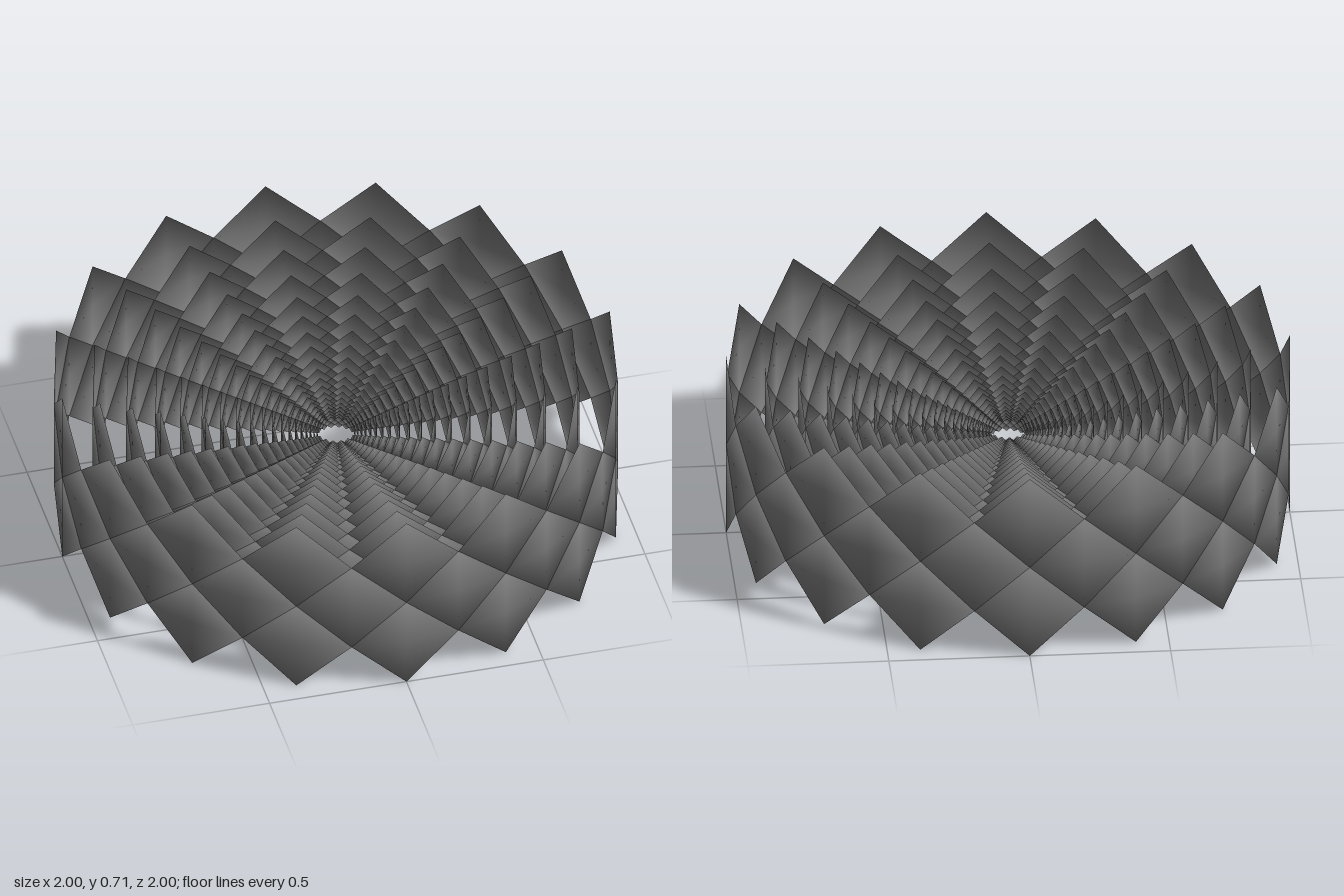
import * as THREE from 'three';
import { mergeGeometries } from 'three/addons/utils/BufferGeometryUtils.js';

const COUNT = 16;                    // diamonds around each row
const HALF = Math.PI / COUNT;        // half a diamond's width, as an angle
const MID = 0.355;                   // height of the common centre
const RINGS = 19;
const SHRINK = 1 / 1.16;             // size of each ring relative to the next one out

// One diamond wrapped on the unit cylinder, as a fan of four triangles
function diamond(angle, y) {
  const points = [[0, 0], [1, 0], [0, 1], [-1, 0], [0, -1]];
  const positions = [], normals = [];
  for (const [u, v] of points) {
    const a = angle + u * HALF;
    positions.push(Math.sin(a), y + v * MID / 2, Math.cos(a));
    // Normals lean away from the centre, so each diamond looks cushioned
    const n = new THREE.Vector3(Math.sin(a), 0, Math.cos(a));
    if (u || v) {
      const lean = new THREE.Vector3(u * Math.cos(a), v, -u * Math.sin(a));
      n.multiplyScalar(0.3).add(lean).normalize();
    }
    normals.push(n.x, n.y, n.z);
  }
  const geometry = new THREE.BufferGeometry();
  geometry.setAttribute('position', new THREE.Float32BufferAttribute(positions, 3));
  geometry.setAttribute('normal', new THREE.Float32BufferAttribute(normals, 3));
  geometry.setIndex([0, 1, 2, 0, 2, 3, 0, 3, 4, 0, 4, 1]);
  return geometry;
}

// Three interlocking rows, the middle one turned by half a diamond
function ringGeometry() {
  const parts = [];
  for (let row = -1; row <= 1; row++) {
    for (let i = 0; i < COUNT; i++) {
      const angle = 2 * HALF * i + (row === 0 ? HALF : 0);
      parts.push(diamond(angle, row * MID / 2));
    }
  }
  return mergeGeometries(parts);
}

export function createModel() {
  const model = new THREE.Group();
  model.name = 'nestedDiamondRings';
  const material = new THREE.MeshStandardMaterial({ color: 0x777777, side: THREE.DoubleSide });
  const geometry = ringGeometry();

  // Concentric rings, each a smaller copy about the same centre
  for (let i = 0; i < RINGS; i++) {
    const ring = new THREE.Mesh(geometry, material);
    ring.name = `diamondRing${i + 1}`;
    ring.scale.setScalar(SHRINK ** i);
    ring.position.y = MID;
    model.add(ring);
  }
  return model;
}
